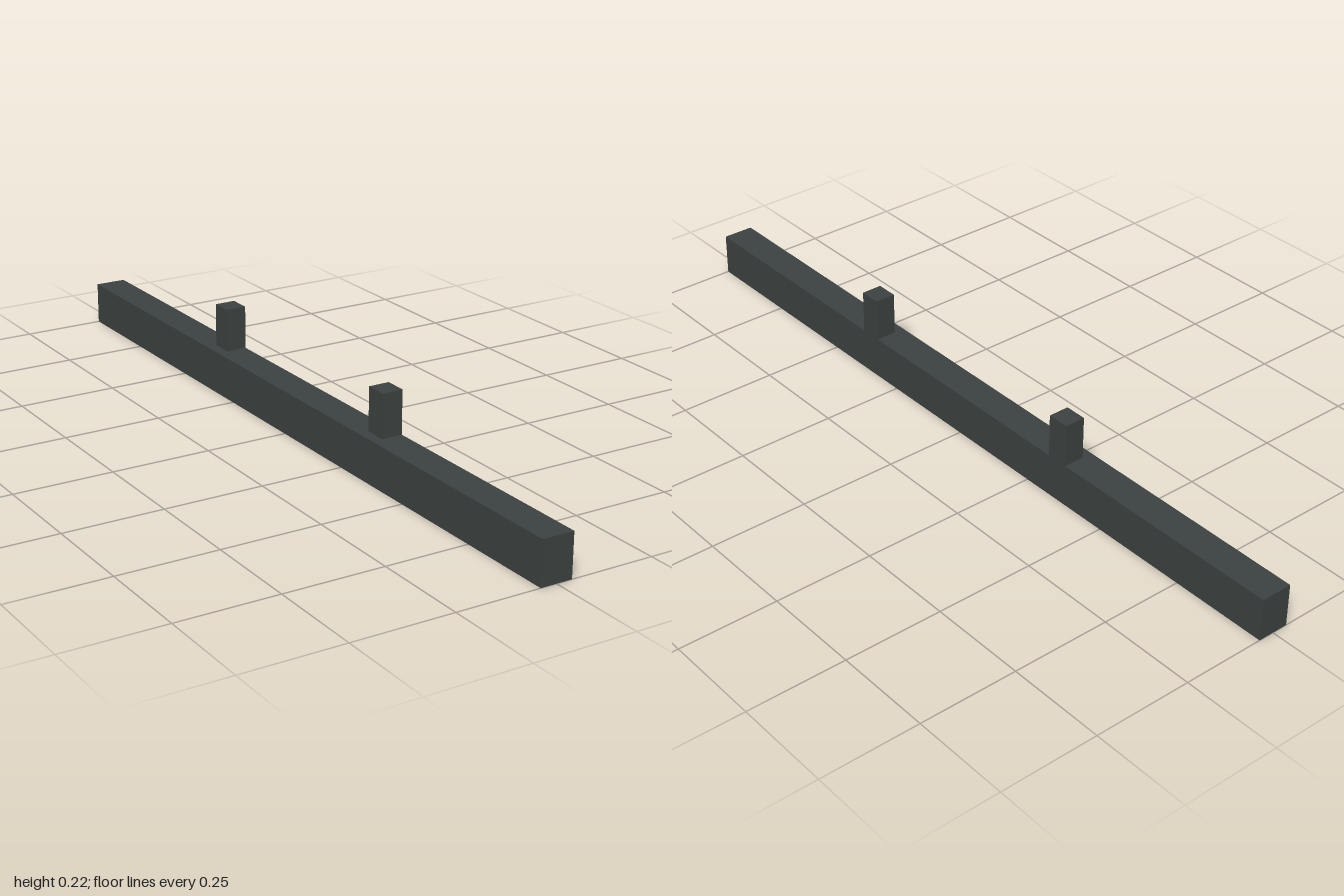
import * as THREE from 'three';

export function createModel() {
  const group = new THREE.Group();
  const charcoal = new THREE.MeshStandardMaterial({ color: 0x3b4140 });
  charcoal.name = 'charcoal';

  const addBox = (name, size, position) => {
    const mesh = new THREE.Mesh(new THREE.BoxGeometry(...size), charcoal);
    mesh.name = name;
    mesh.position.set(...position);
    group.add(mesh);
  };

  const beamWidth = 0.08, beamHeight = 0.108;
  const postWidth = 0.053, postDepth = 0.056, postHeight = 0.109;

  // Long beam
  addBox('beam', [beamWidth, beamHeight, 2], [0, beamHeight / 2, 0]);

  // Two posts on top, flush with the +x side of the beam
  for (const side of [1, -1]) {
    addBox(
      side > 0 ? 'frontPost' : 'backPost',
      [postWidth, postHeight, postDepth],
      [(beamWidth - postWidth) / 2, beamHeight + postHeight / 2, side * 0.351]
    );
  }

  return group;
}
